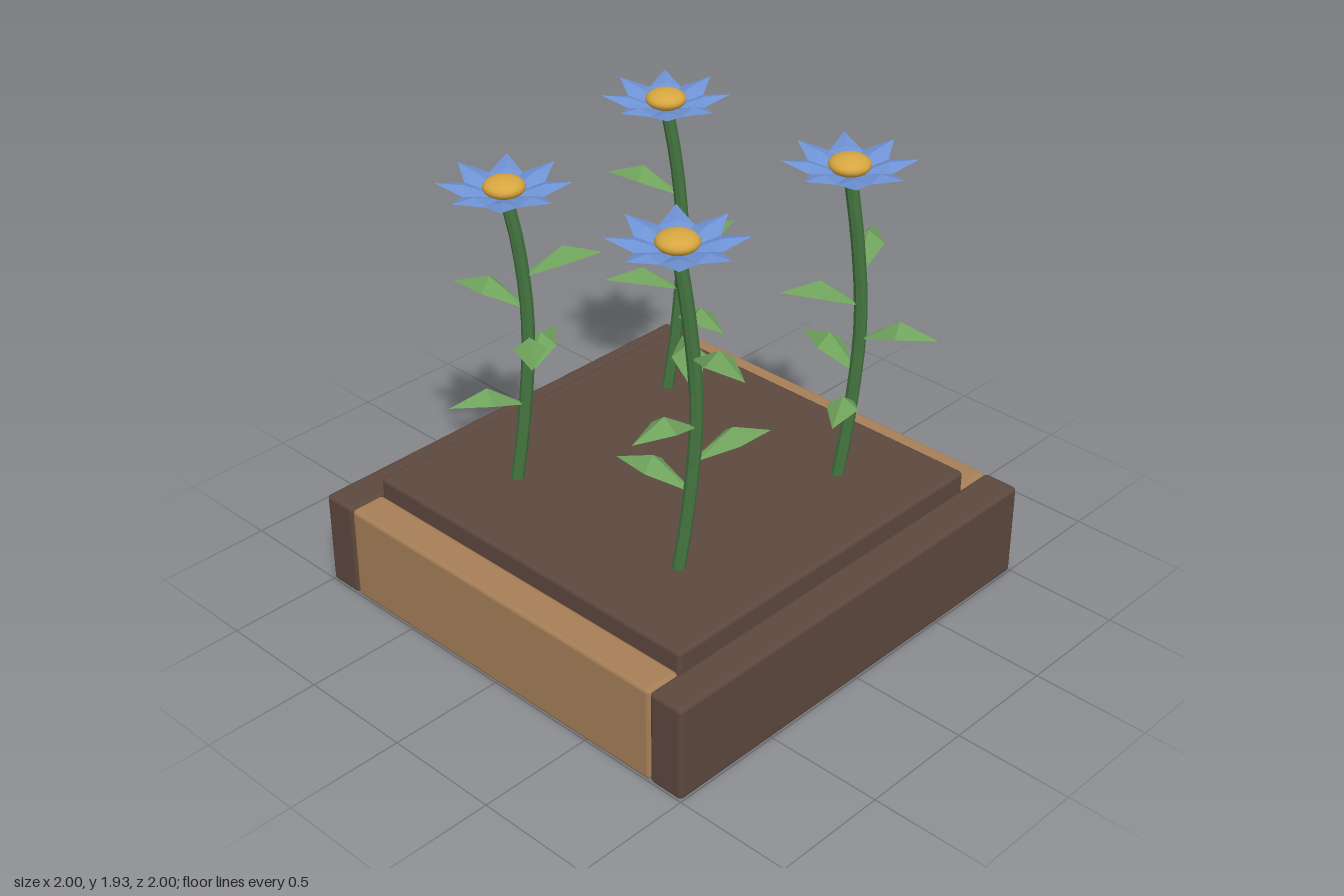
import * as THREE from 'three';
import { RoundedBoxGeometry } from 'three/addons/geometries/RoundedBoxGeometry.js';

const mat = (name, color, extra = {}) => {
  const m = new THREE.MeshStandardMaterial({ color, ...extra });
  m.name = name;
  return m;
};

// Folded pointed blade along +x: base pair, raised rib, two side corners, tip
function bladeGeometry(start, halfBase, rib, side, tip) {
  const [a, b] = [[start, 0, -halfBase], [start, 0, halfBase]];
  const r = [rib[0], rib[1], 0];
  const [l, k] = [[side[0], side[1], -side[2]], [side[0], side[1], side[2]]];
  const t = [tip[0], tip[1], 0];
  const tris = [a, b, r, a, r, l, b, k, r, l, r, t, r, k, t];
  const g = new THREE.BufferGeometry();
  g.setAttribute('position', new THREE.Float32BufferAttribute(tris.flat(), 3));
  g.computeVertexNormals();
  return g;
}

export function createModel() {
  const darkWood = mat('dark brown', 0x5d483e);
  const lightWood = mat('tan wood', 0xa67f57);
  const stemGreen = mat('stem green', 0x447540, { flatShading: true });
  const leafGreen = mat('leaf green', 0x6fa35c, { flatShading: true, side: THREE.DoubleSide });
  const petalBlue = mat('petal blue', 0x6e92d4, { flatShading: true, side: THREE.DoubleSide });
  const gold = mat('flower gold', 0xd6a640);

  const model = new THREE.Group();
  model.name = 'flowerPlanter';
  const add = (parent, name, geometry, material, x = 0, y = 0, z = 0) => {
    const mesh = new THREE.Mesh(geometry, material);
    mesh.name = name;
    mesh.position.set(x, y, z);
    parent.add(mesh);
    return mesh;
  };

  // Wooden frame, open underneath, with a raised slab of soil
  const sideGeo = new RoundedBoxGeometry(0.16, 0.42, 2, 2, 0.02);
  const endGeo = new RoundedBoxGeometry(1.68, 0.42, 0.16, 2, 0.02);
  for (const s of [-1, 1]) {
    add(model, s > 0 ? 'leftBoard' : 'rightBoard', sideGeo, darkWood, s * 0.92, 0.21, 0);
    add(model, s > 0 ? 'frontBoard' : 'backBoard', endGeo, lightWood, 0, 0.21, s * 0.92);
  }
  add(model, 'soil', new RoundedBoxGeometry(1.68, 0.16, 1.68, 2, 0.02), darkWood, 0, 0.42, 0);

  // Shared flower pieces
  const leafGeo = bladeGeometry(0.01, 0.012, [0.16, 0.105], [0.16, 0.055, 0.065], [0.32, 0.05]);
  const petalGeo = bladeGeometry(0.03, 0.014, [0.15, 0.045], [0.15, 0.025, 0.065], [0.262, 0.055]);
  const domeGeo = new THREE.SphereGeometry(0.083, 20, 12).scale(1, 0.48, 1);
  const leafHeights = [0.85, 0.98, 1.13, 1.28, 1.42];

  // Head x, head z, top height, leaf directions in degrees from the lowest up
  const flowers = [
    [-0.505, -0.485, 1.89, [9, 132, 270, 62, 156]],
    [0.475, -0.465, 1.925, [64, 188, 338, 136, 241]],
    [-0.445, 0.455, 1.845, [112, 244, 40, 159, 298]],
    [0.46, 0.455, 1.935, [165, 292, 93, 217, 12]],
  ];
  for (const [x, z, top, angles] of flowers) {
    const flower = new THREE.Group();
    flower.name = 'flower';
    flower.position.set(x, 0, z);
    model.add(flower);

    // Gently bowed stem
    const stemTop = top - 0.06;
    const curve = new THREE.CatmullRomCurve3([
      new THREE.Vector3(0, 0.46, 0),
      new THREE.Vector3(0.028, 0.8, -0.035),
      new THREE.Vector3(0.043, 1.2, -0.056),
      new THREE.Vector3(0.028, 1.55, -0.035),
      new THREE.Vector3(0, stemTop, 0),
    ]);
    add(flower, 'stem', new THREE.TubeGeometry(curve, 14, 0.027, 8), stemGreen);

    // Leaves spiral up the stem
    angles.forEach((deg, i) => {
      const p = curve.getPointAt((leafHeights[i] - 0.46) / (stemTop - 0.46));
      add(flower, 'leaf', leafGeo, leafGreen, p.x, p.y, p.z).rotation.y = -THREE.MathUtils.degToRad(deg);
    });

    // Eight petals around a domed centre
    for (let i = 0; i < 8; i++) {
      add(flower, 'petal', petalGeo, petalBlue, 0, top - 0.078, 0).rotation.y = (i * Math.PI) / 4;
    }
    add(flower, 'flowerCentre', domeGeo, gold, 0, top - 0.04, 0);
  }
  return model;
}
